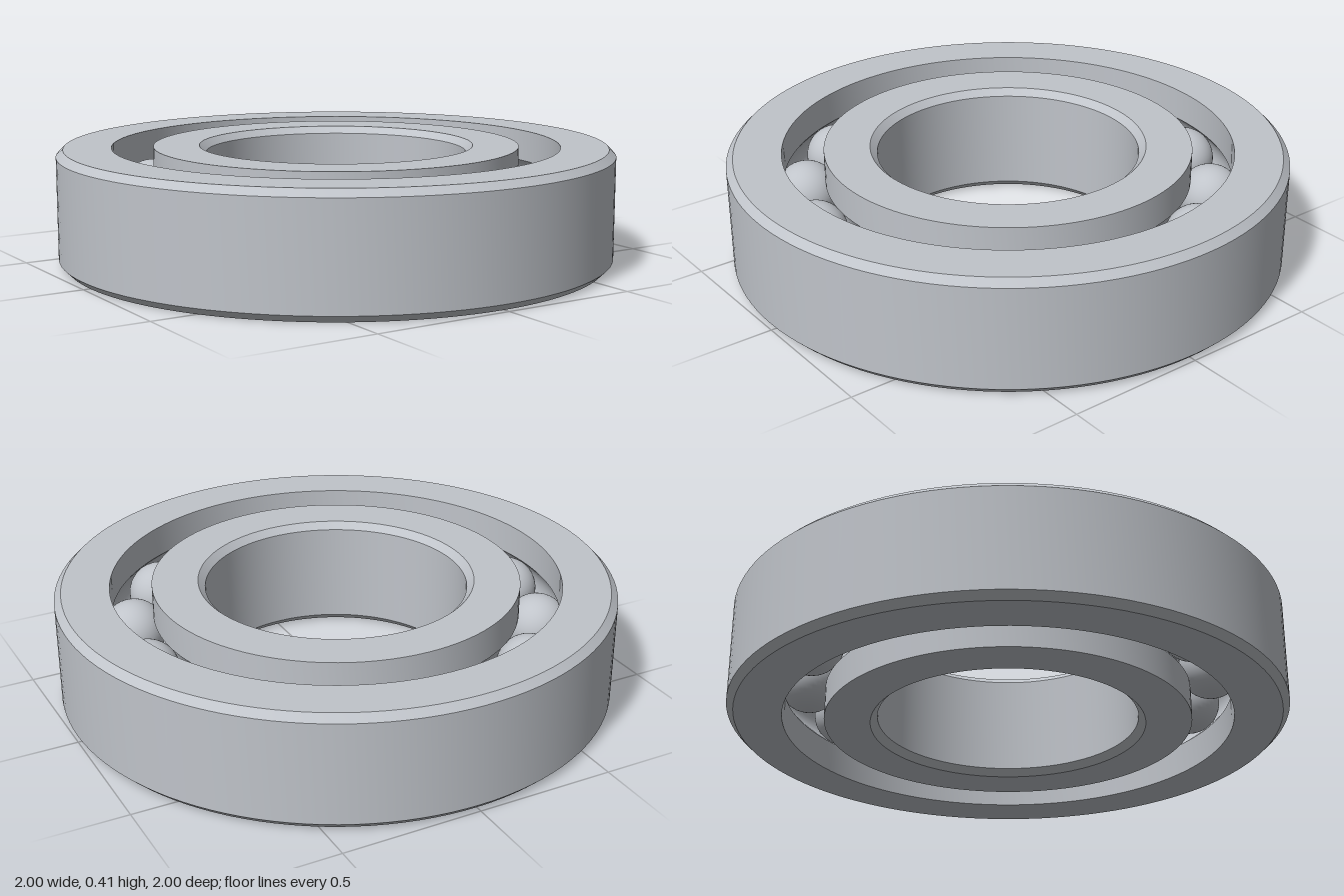
import * as THREE from 'three';
import { toCreasedNormals } from 'three/addons/utils/BufferGeometryUtils.js';

const HEIGHT = 0.415;
const CHAMFER = 0.025;
const PITCH = 0.732; // radius of the circle of ball centres
const BALL_RADIUS = 0.115;
const GROOVE_RADIUS = 0.117;
const BALL_COUNT = 14;
const OUTER = 1, OUTER_SHOULDER = 0.805;
const INNER_SHOULDER = 0.657, BORE = 0.468;

// Arc of a ball groove in the (radius, y) plane
function groove(from, to, steps = 16) {
  return Array.from({ length: steps + 1 }, (_, i) => {
    const a = from + ((to - from) * i) / steps;
    return [PITCH + GROOVE_RADIUS * Math.cos(a), HEIGHT / 2 + GROOVE_RADIUS * Math.sin(a)];
  });
}

// Revolved closed profile with crisp edges
function ring(name, profile, material) {
  const points = [...profile, profile[0]].map(([r, y]) => new THREE.Vector2(r, y));
  const geometry = toCreasedNormals(new THREE.LatheGeometry(points, 120), Math.PI / 7);
  const mesh = new THREE.Mesh(geometry, material);
  mesh.name = name;
  return mesh;
}

export function createModel() {
  const model = new THREE.Group();
  model.name = 'ballBearing';
  const steel = new THREE.MeshStandardMaterial({ color: 0xc0c4ca });
  steel.name = 'steel';

  // Outer ring: chamfered outside, grooved inside
  const outerAngle = Math.acos((OUTER_SHOULDER - PITCH) / GROOVE_RADIUS);
  model.add(ring('outerRing', [
    [OUTER_SHOULDER, 0],
    [OUTER - CHAMFER, 0],
    [OUTER, CHAMFER],
    [OUTER, HEIGHT - CHAMFER],
    [OUTER - CHAMFER, HEIGHT],
    [OUTER_SHOULDER, HEIGHT],
    ...groove(outerAngle, -outerAngle),
  ], steel));

  // Inner ring: grooved outside, chamfered bore
  const innerAngle = Math.acos((PITCH - INNER_SHOULDER) / GROOVE_RADIUS);
  model.add(ring('innerRing', [
    [BORE + CHAMFER, 0],
    [INNER_SHOULDER, 0],
    ...groove(Math.PI + innerAngle, Math.PI - innerAngle),
    [INNER_SHOULDER, HEIGHT],
    [BORE + CHAMFER, HEIGHT],
    [BORE, HEIGHT - CHAMFER],
    [BORE, CHAMFER],
  ], steel));

  // Balls spaced evenly in the groove
  const balls = new THREE.Group();
  balls.name = 'balls';
  const ballGeometry = new THREE.SphereGeometry(BALL_RADIUS, 40, 24);
  for (let i = 0; i < BALL_COUNT; i++) {
    const a = (i / BALL_COUNT) * Math.PI * 2;
    const ball = new THREE.Mesh(ballGeometry, steel);
    ball.name = `ball${i + 1}`;
    ball.position.set(PITCH * Math.cos(a), HEIGHT / 2, PITCH * Math.sin(a));
    balls.add(ball);
  }
  model.add(balls);

  return model;
}
